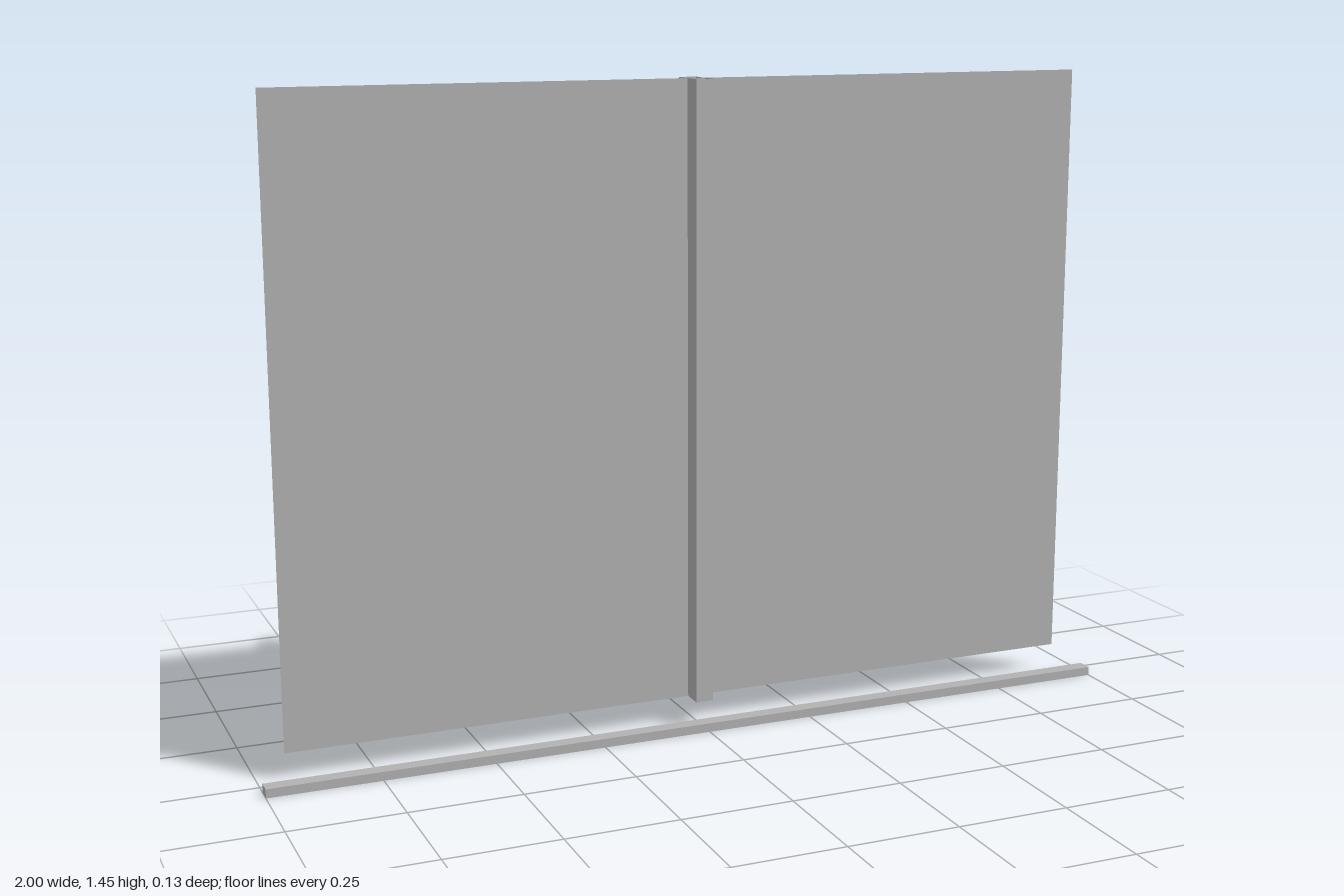
import * as THREE from 'three';

export function createModel() {
  const group = new THREE.Group();
  const grey = new THREE.MeshStandardMaterial({ color: 0xb2b2b2, side: THREE.DoubleSide });
  grey.name = 'grey';

  const bottom = 0.062, top = 1.452, midY = (bottom + top) / 2, height = top - bottom;
  const panelZ = -0.015;

  const add = (name, geometry, x, y, z) => {
    const mesh = new THREE.Mesh(geometry, grey);
    mesh.name = name;
    mesh.position.set(x, y, z);
    group.add(mesh);
  };

  // thin sheet running through the middle of the post
  add('panel', new THREE.PlaneGeometry(1.886, height), 0, midY, panelZ);

  // hollow upright post, open at both ends: four side walls only
  const post = new THREE.BoxGeometry(0.04, height, 0.098);
  const index = Array.from(post.index.array);
  post.setIndex([...index.slice(0, 12), ...index.slice(24, 36)]);
  post.clearGroups();
  add('post', post, 0, midY, panelZ);

  // long low rail on the ground in front
  add('groundRail', new THREE.BoxGeometry(2, 0.02, 0.034), 0, 0.01, 0.047);

  return group;
}
